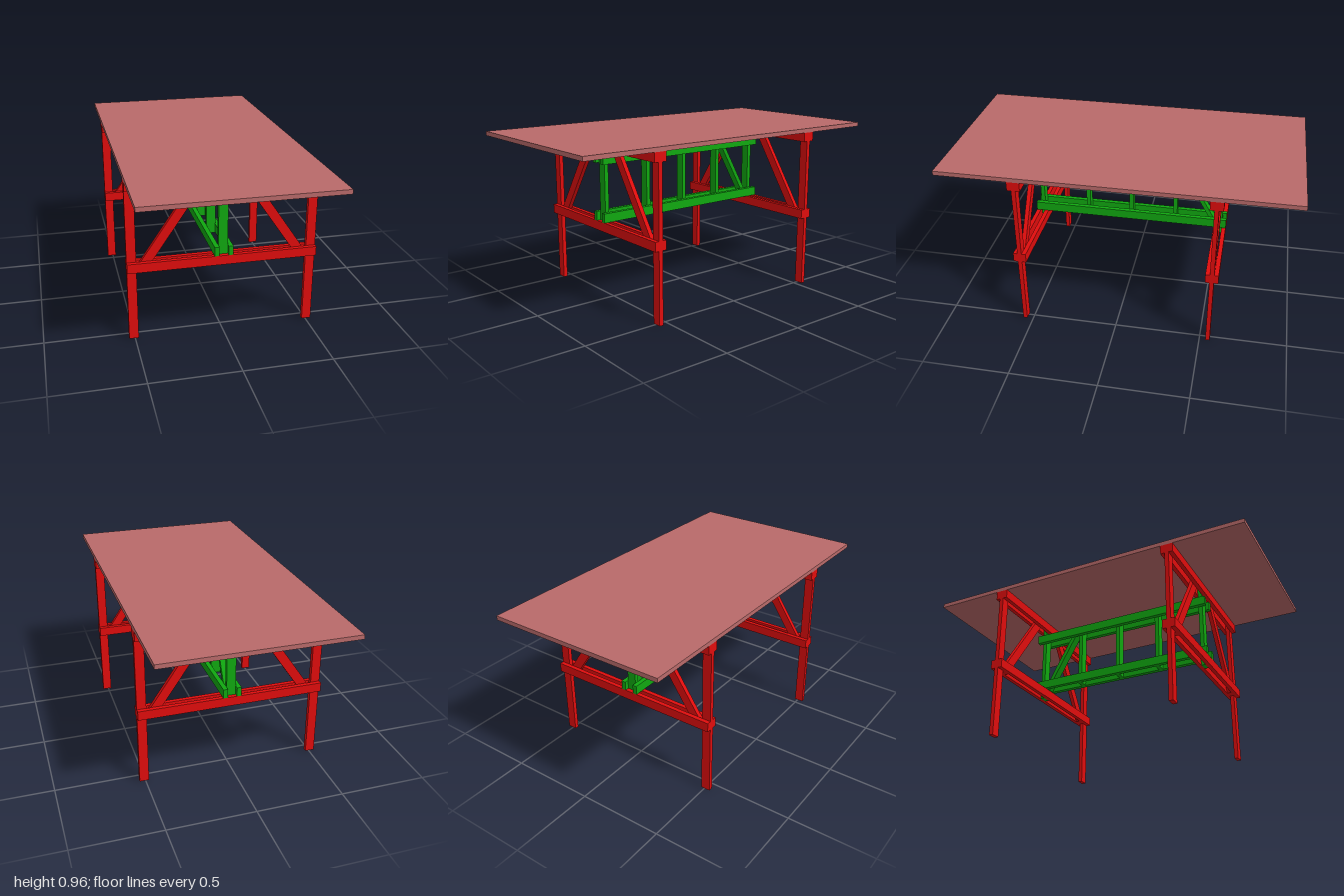
import * as THREE from 'three';

const RED = new THREE.MeshStandardMaterial({ color: 0xe00d0d });
const GREEN = new THREE.MeshStandardMaterial({ color: 0x10a810 });
const TOP = new THREE.MeshStandardMaterial({ color: 0xb96a6a });

// Heights shared by the frames and the truss
const RAIL_LOW = [0.415, 0.469];
const RAIL_HIGH = [0.884, 0.937];
const CHORD_LOW = [0.469, 0.522];
const CHORD_HIGH = [0.803, 0.856];
const HALF_WIDTH = 0.533;
const T = 0.0245; // plank thickness
const FRAME_Z = 0.548;

// Box given by its extents along x, y and z
function plank(name, material, [x0, x1], [y0, y1], [z0, z1]) {
  const mesh = new THREE.Mesh(new THREE.BoxGeometry(x1 - x0, y1 - y0, z1 - z0), material);
  mesh.position.set((x0 + x1) / 2, (y0 + y1) / 2, (z0 + z1) / 2);
  mesh.name = name;
  return mesh;
}

// Slanted plank with level ends, drawn in the xy plane and centred on z = 0
function slanted(name, material, [xa, ya], [xb, yb], width, depth) {
  const w = width / 2;
  const shape = new THREE.Shape([
    new THREE.Vector2(xa - w, ya), new THREE.Vector2(xa + w, ya),
    new THREE.Vector2(xb + w, yb), new THREE.Vector2(xb - w, yb),
  ]);
  const geometry = new THREE.ExtrudeGeometry(shape, { depth, bevelEnabled: false });
  geometry.translate(0, 0, -depth / 2);
  const mesh = new THREE.Mesh(geometry, material);
  mesh.name = name;
  return mesh;
}

// End frame: two legs and braces sandwiched between paired rails
function endFrame() {
  const frame = new THREE.Group();
  const core = [-T / 2, T / 2];
  for (const s of [-1, 1]) {
    const x = s * (HALF_WIDTH - 0.0265);
    frame.add(plank('leg', RED, [x - 0.0265, x + 0.0265], [0, RAIL_HIGH[1]], core));
    frame.add(slanted('brace', RED, [s * 0.46, RAIL_LOW[0]], [s * 0.104, RAIL_HIGH[1]], 0.064, T));
    const z = s > 0 ? [T / 2, T * 1.5] : [-T * 1.5, -T / 2];
    frame.add(plank('lowerRail', RED, [-HALF_WIDTH, HALF_WIDTH], RAIL_LOW, z));
    frame.add(plank('upperRail', RED, [-HALF_WIDTH, HALF_WIDTH], RAIL_HIGH, z));
  }
  frame.add(plank('centrePost', GREEN, [-0.0265, 0.0265], [RAIL_LOW[0], RAIL_HIGH[1]], core));
  return frame;
}

// Lengthwise truss: paired chords with uprights and one diagonal between them
function truss() {
  const group = new THREE.Group();
  group.name = 'truss';
  const inner = 0.0265, outer = 0.0525, end = FRAME_Z + T * 1.5;
  for (const x of [[-outer, -inner], [inner, outer]]) {
    group.add(plank('lowerChord', GREEN, x, CHORD_LOW, [-end, end]));
    group.add(plank('upperChord', GREEN, x, CHORD_HIGH, [-end, end]));
  }
  for (const z of [0.259, -0.008, -0.275]) {
    group.add(plank('upright', GREEN, [-inner, inner], [CHORD_LOW[0], CHORD_HIGH[1]], [z - T / 2, z + T / 2]));
  }
  // Drawn along x, then turned so that x runs towards -z
  const diagonal = slanted('diagonal', GREEN, [0.521, CHORD_LOW[0]], [0.3, CHORD_HIGH[1]], 0.028, inner * 2);
  diagonal.rotation.y = Math.PI / 2;
  group.add(diagonal);
  return group;
}

export function createModel() {
  const model = new THREE.Group();
  model.name = 'trestleTable';
  model.add(plank('tableTop', TOP, [-HALF_WIDTH, HALF_WIDTH], [RAIL_HIGH[1], 0.962], [-1, 1]));
  for (const s of [-1, 1]) {
    const frame = endFrame();
    frame.name = s > 0 ? 'frontFrame' : 'backFrame';
    frame.position.z = s * FRAME_Z;
    model.add(frame);
  }
  model.add(truss());
  return model;
}
